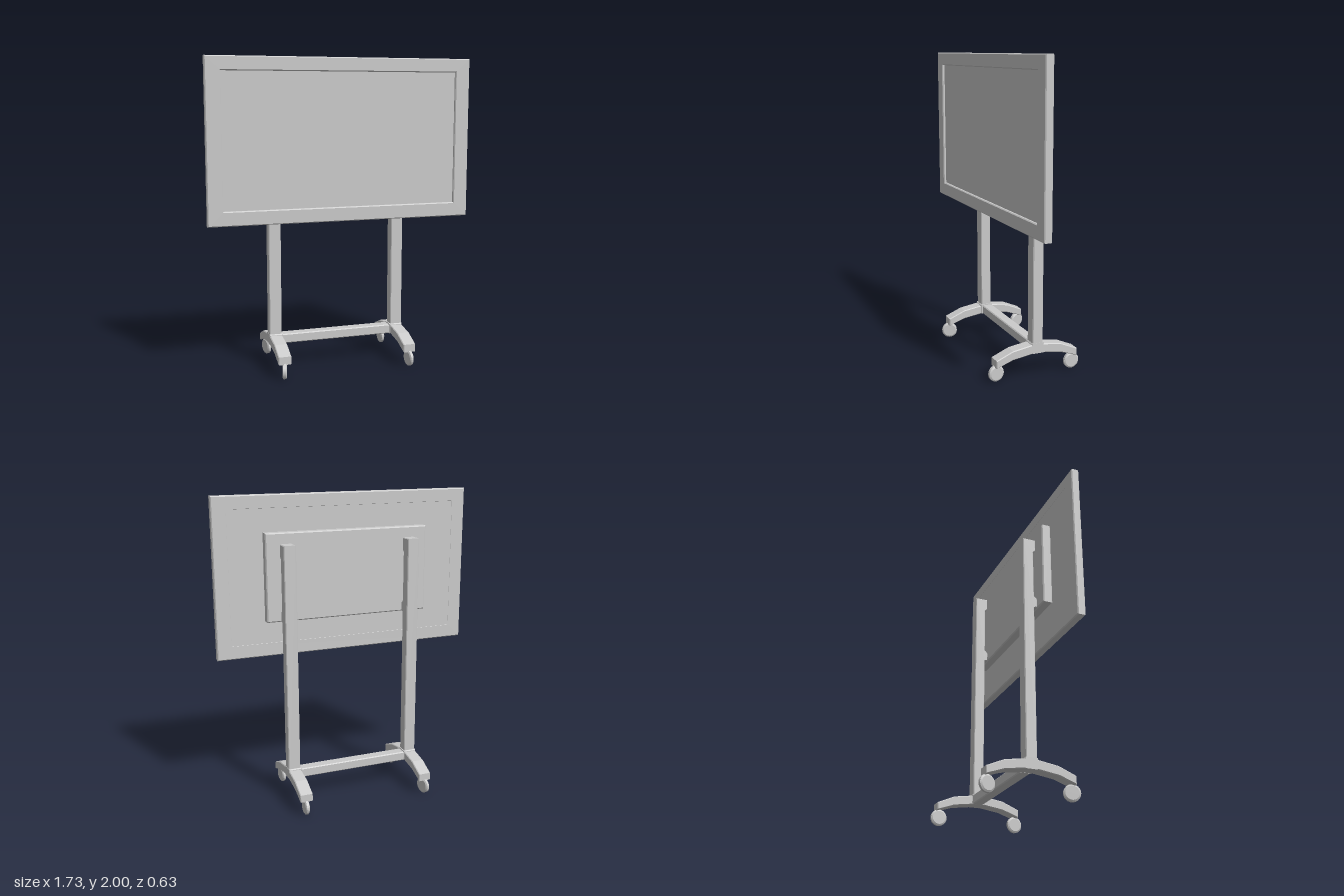
import * as THREE from 'three';

const material = new THREE.MeshStandardMaterial({ color: 0xcccccc, flatShading: true });

function add(parent, name, geometry, x = 0, y = 0, z = 0) {
  const mesh = new THREE.Mesh(geometry, material);
  mesh.name = name;
  mesh.position.set(x, y, z);
  parent.add(mesh);
  return mesh;
}

const shapeOf = (points) => new THREE.Shape(points.map(([a, b]) => new THREE.Vector2(a, b)));
const rectangle = (w, h) => [[-w / 2, -h / 2], [w / 2, -h / 2], [w / 2, h / 2], [-w / 2, h / 2]];

// Chamfered extrusion, centred on its depth, keeping the outline's full size
function chamfered(shape, depth, bevel) {
  const geometry = new THREE.ExtrudeGeometry(shape, {
    depth: depth - 2 * bevel, bevelEnabled: true, bevelSegments: 1,
    bevelSize: bevel, bevelThickness: bevel, bevelOffset: -bevel,
  });
  return geometry.translate(0, 0, bevel - depth / 2);
}

const slab = (w, h, d, bevel = 0.006) => chamfered(shapeOf(rectangle(w, h)), d, bevel);

// Side profile given as [z, y] points, extruded across x
const sideProfile = (points, width, bevel = 0.005) =>
  chamfered(shapeOf(points), width, bevel).rotateY(-Math.PI / 2);

export function createModel() {
  const model = new THREE.Group();
  model.name = 'mobileDisplayStand';

  // Display: bezel around a recessed screen
  const display = new THREE.Group();
  display.name = 'display';
  model.add(display);
  const frame = shapeOf(rectangle(1.73, 1.03));
  frame.holes.push(new THREE.Path(
    rectangle(1.535, 0.85).reverse().map(([x, y]) => new THREE.Vector2(x, y + 0.002))));
  add(display, 'bezel', chamfered(frame, 0.052, 0.006), 0, 1.485, 0.138);
  add(display, 'screen', new THREE.BoxGeometry(1.56, 0.88, 0.034), 0, 1.487, 0.13);
  add(display, 'rearHousing', slab(1.1, 0.565, 0.062, 0.007), 0, 1.487, 0.082);

  // Uprights with mounting lugs
  const postProfile = [
    [-0.04, 0.17], [0.03, 0.17], [0.03, 1.2], [0.05, 1.205], [0.05, 1.265], [0.03, 1.285],
    [0.03, 1.605], [0.046, 1.62], [0.046, 1.7], [-0.04, 1.7],
  ];
  // Arched foot
  const footProfile = [
    [-0.283, 0.096], [-0.17, 0.135], [-0.04, 0.154], [0.035, 0.154], [0.165, 0.135], [0.277, 0.096],
    [0.277, 0.148], [0.165, 0.194], [0.035, 0.214], [-0.04, 0.214], [-0.17, 0.194], [-0.283, 0.145],
  ];
  for (const side of [-1, 1]) {
    const leg = new THREE.Group();
    leg.name = side > 0 ? 'leftLeg' : 'rightLeg';
    leg.position.x = side * 0.42;
    model.add(leg);
    add(leg, 'post', sideProfile(postProfile, 0.08));
    add(leg, 'foot', sideProfile(footProfile, 0.084));
    add(leg, 'postSocket', slab(0.09, 0.068, 0.086), -side * 0.003, 0.189, -0.006);

    // Casters, each swivelled a little
    for (const end of [-1, 1]) {
      const caster = new THREE.Group();
      caster.name = end > 0 ? 'frontCaster' : 'rearCaster';
      caster.position.set(0, 0.054, end > 0 ? 0.264 : -0.262);
      caster.rotation.y = side > 0 ? (end > 0 ? 0.12 : 0) : -end * 0.27;
      leg.add(caster);
      const wheel = new THREE.LatheGeometry([
        [0, -0.014], [0.042, -0.014], [0.052, -0.008], [0.052, 0.008], [0.042, 0.014], [0, 0.014],
      ].map(([r, h]) => new THREE.Vector2(r, h)), 24).rotateZ(Math.PI / 2);
      add(caster, 'wheel', wheel);
    }
  }

  // Rail joining the two legs
  add(model, 'crossRail', slab(0.76, 0.062, 0.072), 0, 0.185, -0.011);

  return model;
}
